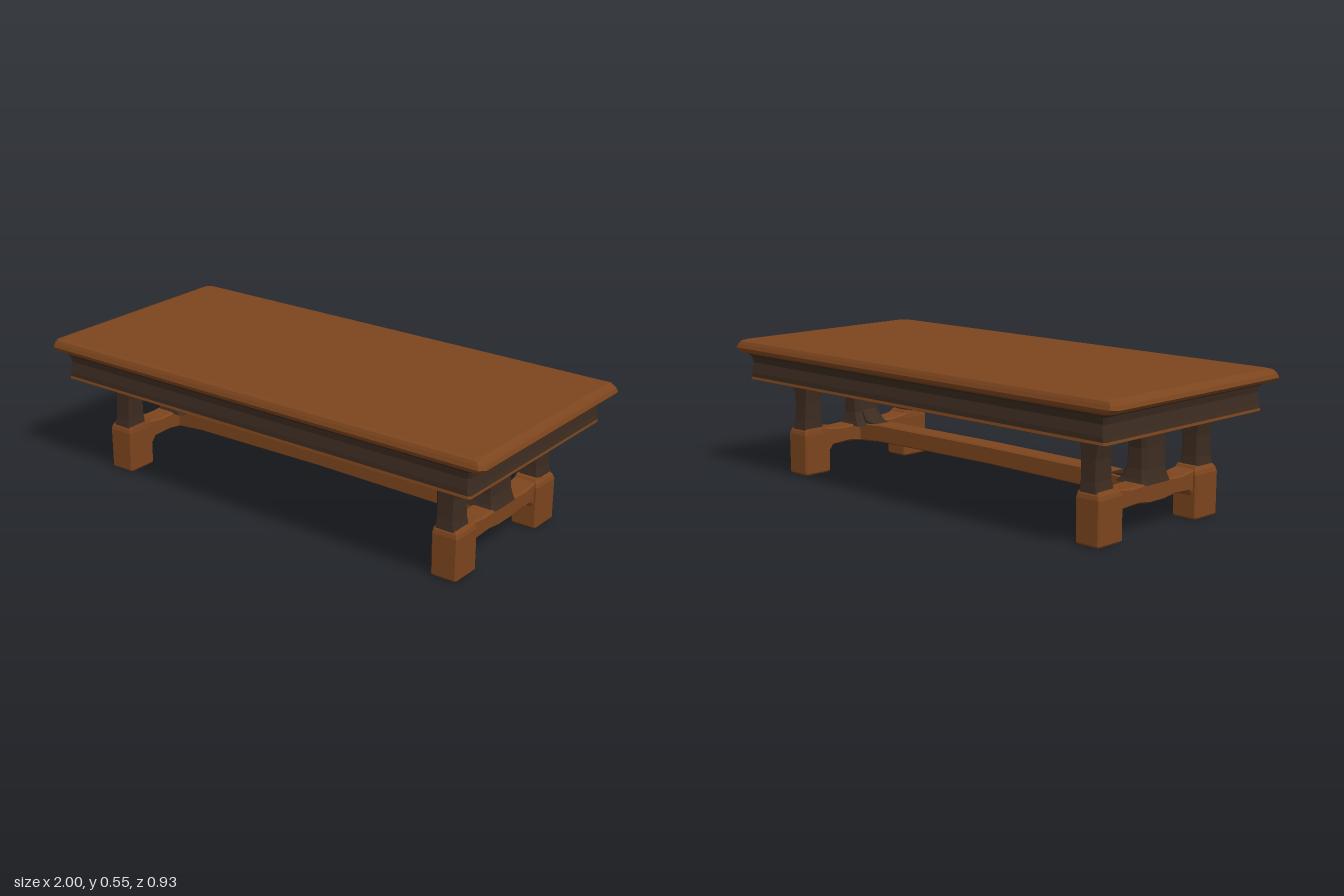
import * as THREE from 'three';

// Stack of bevelled rectangles: each section is [y, halfX, halfZ, centreX = 0]
function loft(sections, bevel, capped = true) {
  const pos = [], idx = [], n = 8;
  for (const [y, hx, hz, cx = 0] of sections) {
    const bx = hx - bevel, bz = hz - bevel;
    const ring = [[hx, -bz], [hx, bz], [bx, hz], [-bx, hz], [-hx, bz], [-hx, -bz], [-bx, -hz], [bx, -hz]];
    for (const [x, z] of ring) pos.push(x + cx, y, z);
  }
  const last = (sections.length - 1) * n;
  for (let s = 0; s < last; s += n) {
    for (let i = 0; i < n; i++) {
      const j = (i + 1) % n;
      idx.push(s + i, s + n + i, s + j, s + j, s + n + i, s + n + j);
    }
  }
  for (let i = 1; capped && i < n - 1; i++) {
    idx.push(0, i, i + 1);
    idx.push(last, last + i + 1, last + i);
  }
  const g = new THREE.BufferGeometry();
  g.setAttribute('position', new THREE.Float32BufferAttribute(pos, 3));
  g.setIndex(idx);
  const flat = g.toNonIndexed();
  flat.computeVertexNormals();
  return flat;
}

// Bar with chamfered edges, extruded from an outline and centred on its thickness
function bar(points, thickness) {
  const shape = new THREE.Shape(points.map(([x, y]) => new THREE.Vector2(x, y)));
  const chamfer = 0.008;
  const g = new THREE.ExtrudeGeometry(shape, {
    depth: thickness - 2 * chamfer, bevelEnabled: true, bevelThickness: chamfer,
    bevelSize: 0.006, bevelOffset: -0.006, bevelSegments: 1,
  });
  g.translate(0, 0, chamfer - thickness / 2);
  return g;
}

export function createModel() {
  const table = new THREE.Group();
  table.name = 'table';
  const wood = new THREE.MeshStandardMaterial({ color: 0x7d451e });
  wood.name = 'brown wood';
  const dark = new THREE.MeshStandardMaterial({ color: 0x3d2c21 });
  dark.name = 'dark wood';
  const add = (parent, name, geometry, material) => {
    const m = new THREE.Mesh(geometry, material);
    m.name = name;
    parent.add(m);
    return m;
  };

  // Top slab with rounded edge
  add(table, 'tableTop', loft([
    [0.49, 0.955, 0.443], [0.5, 0.988, 0.46], [0.513, 1.0, 0.465],
    [0.528, 0.995, 0.46], [0.539, 0.986, 0.454], [0.545, 0.965, 0.437],
  ], 0.02), wood);

  // Coved outer face of the apron
  add(table, 'apron', loft([
    [0.396, 0.934, 0.434], [0.415, 0.93, 0.434], [0.455, 0.926, 0.428],
    [0.48, 0.932, 0.433], [0.494, 0.95, 0.445],
  ], 0.008, false), dark);

  // Hollow inside of the apron, turning into the moulding round its lower edge
  add(table, 'apronLining', loft([
    [0.494, 0.893, 0.393], [0.388, 0.9, 0.4], [0.384, 0.908, 0.408],
    [0.383, 0.924, 0.426], [0.387, 0.935, 0.436], [0.397, 0.934, 0.434],
  ], 0.008, false), wood);

  // Long stretcher joining the two ends
  add(table, 'longStretcher', bar([
    [-0.74, 0.104], [-0.6, 0.115], [0, 0.121], [0.6, 0.115], [0.74, 0.104],
    [0.74, 0.18], [0.6, 0.188], [0, 0.192], [-0.6, 0.188], [-0.74, 0.18],
  ], 0.086), wood);

  // Arched cross stretcher outline, drawn across the depth
  const arch = [
    [-0.24, 0.085], [-0.2, 0.09], [-0.185, 0.109], [-0.1, 0.113], [-0.04, 0.105], [0.04, 0.105],
    [0.1, 0.113], [0.185, 0.109], [0.2, 0.09], [0.24, 0.085], [0.25, 0.188], [0.215, 0.185],
    [0.14, 0.175], [0.06, 0.178], [-0.06, 0.178], [-0.14, 0.175], [-0.215, 0.185], [-0.25, 0.188],
  ];

  // Both trestle ends
  for (const side of [-1, 1]) {
    const end = new THREE.Group();
    end.name = side > 0 ? 'leftTrestle' : 'rightTrestle';
    table.add(end);

    const cross = bar(arch, 0.092);
    cross.rotateY(-Math.PI / 2);
    cross.translate(side * 0.765, 0, 0);
    add(end, 'crossStretcher', cross, wood);

    // Flared centre post
    add(end, 'centrePost', loft([
      [0.172, 0.07, 0.078, side * 0.745], [0.19, 0.057, 0.071, side * 0.753], [0.225, 0.045, 0.064, side * 0.758],
      [0.3, 0.042, 0.062, side * 0.758], [0.35, 0.046, 0.07, side * 0.756],
      [0.39, 0.052, 0.076, side * 0.752], [0.492, 0.058, 0.078, side * 0.752],
    ], 0.014), dark);

    // Dark wedge bracing the post against the long stretcher
    const brace = bar([[0.7, 0.17], [0.62, 0.186], [0.68, 0.197], [0.705, 0.235], [0.74, 0.235], [0.74, 0.17]]
      .map(([x, y]) => [side * x, y]), 0.076);
    add(end, 'brace', brace, dark);

    // Block foot with sloped shoulders, and the leg above it
    for (const z of [-0.267, 0.267]) {
      const foot = add(end, 'foot', loft([
        [0, 0.048, 0.058, side * 0.772], [0.007, 0.053, 0.064, side * 0.772], [0.165, 0.054, 0.064, side * 0.772],
        [0.18, 0.051, 0.06, side * 0.771], [0.194, 0.045, 0.05, side * 0.768],
      ], 0.006), wood);
      foot.position.z = z;
      const leg = add(end, 'leg', loft([
        [0.185, 0.046, 0.047, side * 0.768], [0.225, 0.041, 0.042, side * 0.766], [0.3, 0.041, 0.039, side * 0.764],
        [0.35, 0.048, 0.039, side * 0.766], [0.39, 0.053, 0.042, side * 0.768], [0.492, 0.055, 0.045, side * 0.768],
      ], 0.01), dark);
      leg.position.z = z + Math.sign(z) * 0.011;
    }
  }
  return table;
}
